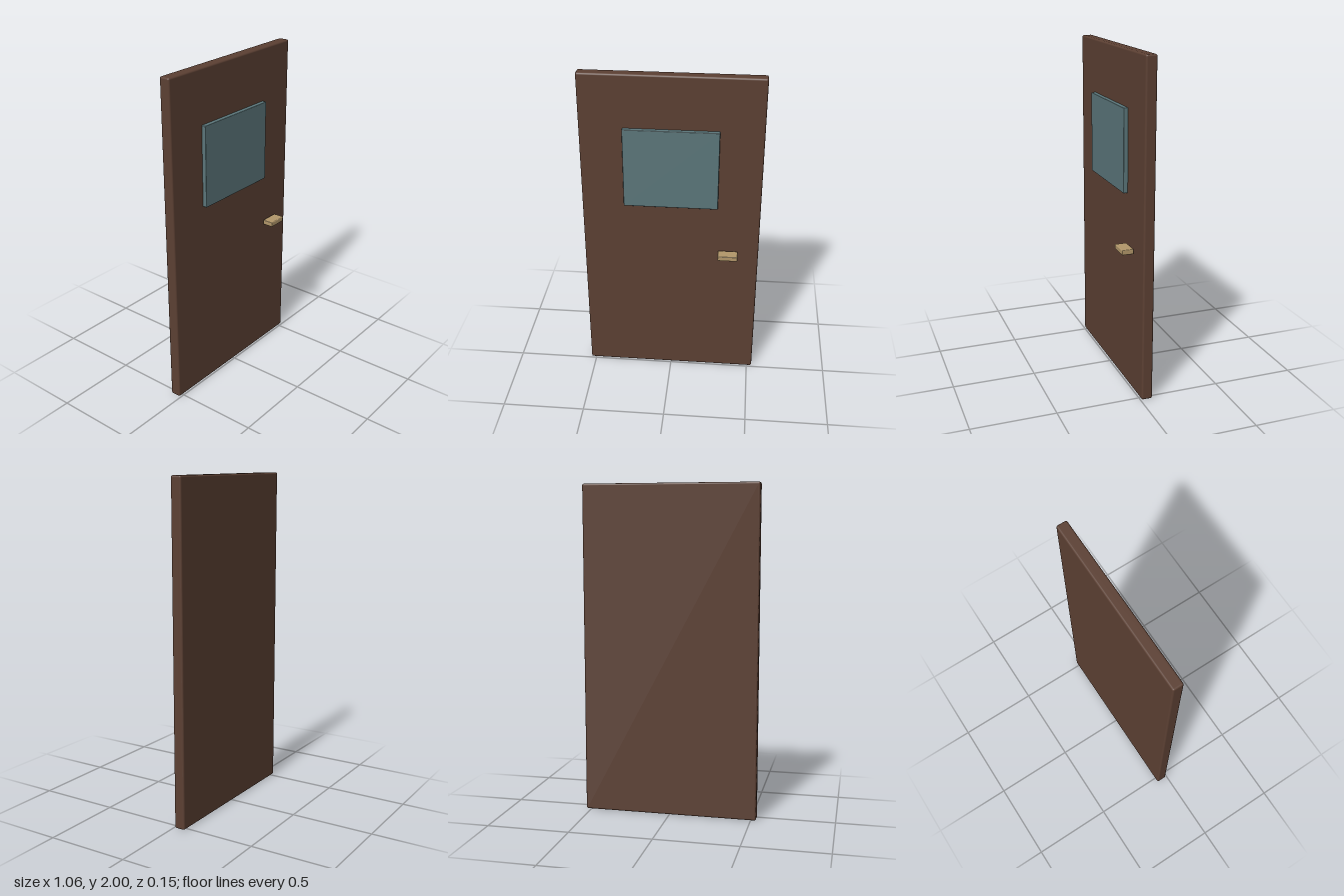
import * as THREE from 'three';
import { RoundedBoxGeometry } from 'three/addons/geometries/RoundedBoxGeometry.js';

const material = (name, color) => {
  const m = new THREE.MeshStandardMaterial({ color });
  m.name = name;
  return m;
};

// Box with softened edges, given by its min and max corners
function softBox(name, mat, min, max, radius) {
  const size = max.map((v, i) => v - min[i]);
  const mesh = new THREE.Mesh(new RoundedBoxGeometry(...size, 2, radius), mat);
  mesh.position.set(...max.map((v, i) => (v + min[i]) / 2));
  mesh.name = name;
  return mesh;
}

export function createModel() {
  const wood = material('dark brown wood', 0x5c4033);
  const glass = material('blue grey glass', 0x5b767a);
  const brass = material('dull brass', 0xb2976a);

  const door = new THREE.Group();
  door.name = 'door';
  door.add(
    // Solid door slab
    softBox('doorSlab', wood, [-0.532, 0, -0.073], [0.532, 2, -0.007], 0.011),
    // Raised window pane, set into the front of the slab
    softBox('windowPane', glass, [-0.279, 1.19, -0.03], [0.279, 1.68, 0.019], 0.004),
    // Lever handle standing just off the front face
    softBox('handle', brass, [0.288, 0.866, 0.003], [0.408, 0.896, 0.073], 0.005),
  );
  return door;
}
